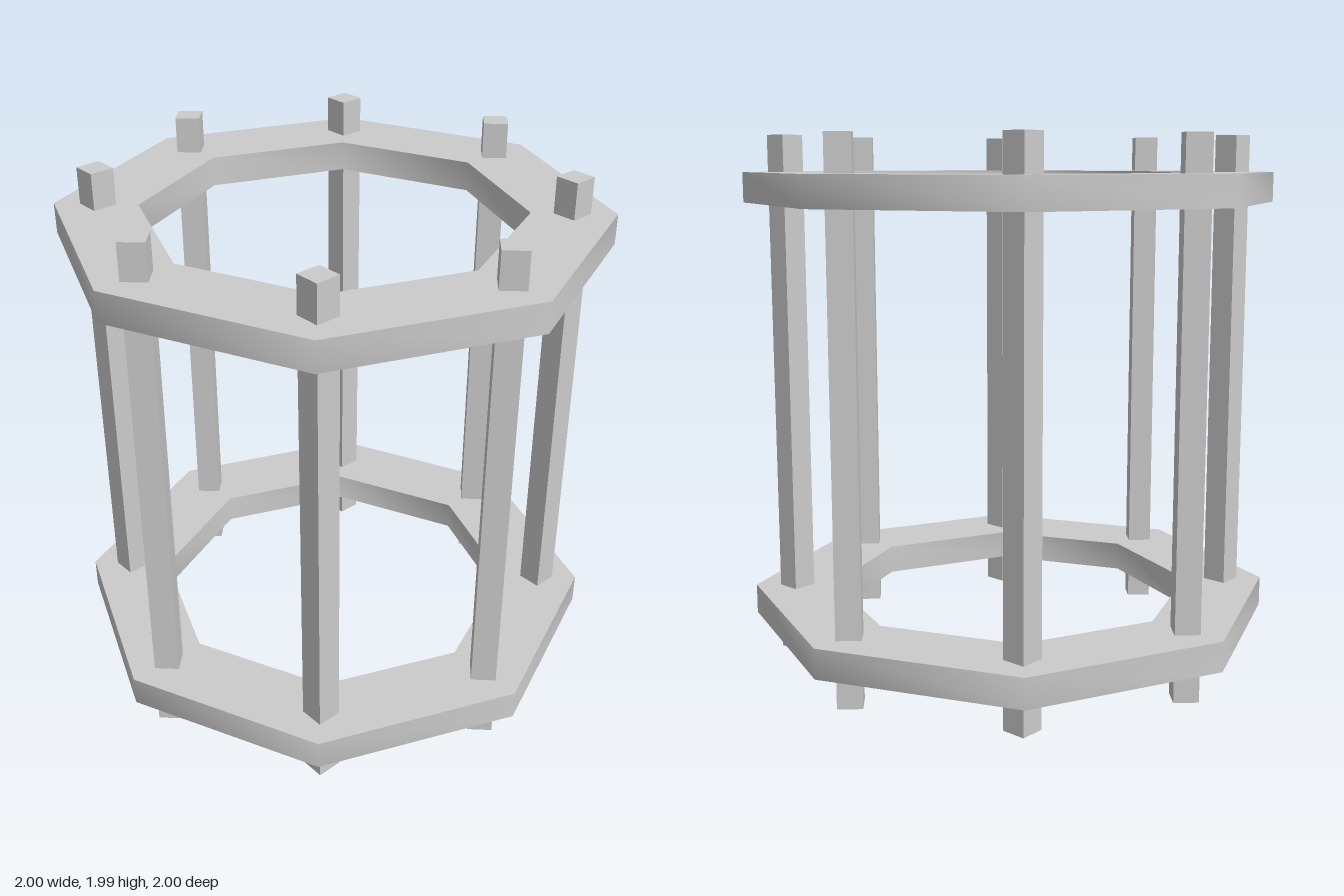
import * as THREE from 'three';
import { toCreasedNormals } from 'three/addons/utils/BufferGeometryUtils.js';

const SIDES = 8;
const HEIGHT = 1.99;

// Corners of an octagon with points on the axes
function octagon(radius) {
  return Array.from({ length: SIDES }, (_, i) => {
    const a = (i / SIDES) * Math.PI * 2;
    return new THREE.Vector2(radius * Math.cos(a), radius * Math.sin(a));
  });
}

export function createModel() {
  const group = new THREE.Group();
  group.name = 'octagonalFrame';
  const material = new THREE.MeshStandardMaterial({ color: 0xcccccc });

  // Flat octagonal rings: walls smooth around the ring, edges sharp
  const shape = new THREE.Shape(octagon(1));
  shape.holes.push(new THREE.Path(octagon(0.695)));
  const extruded = new THREE.ExtrudeGeometry(shape, { depth: 0.112, bevelEnabled: false });
  extruded.rotateX(-Math.PI / 2);
  const ringGeometry = toCreasedNormals(extruded, THREE.MathUtils.degToRad(50));
  for (const [name, y] of [['lowerRing', 0.14], ['upperRing', 1.742]]) {
    const ring = new THREE.Mesh(ringGeometry, material);
    ring.name = name;
    ring.position.y = y;
    group.add(ring);
  }

  // Square posts through each corner, an edge facing outward
  const postGeometry = new THREE.BoxGeometry(0.092, HEIGHT, 0.092);
  octagon(0.84).forEach((p, i) => {
    const post = new THREE.Mesh(postGeometry, material);
    post.name = `post${i + 1}`;
    post.position.set(p.x, HEIGHT / 2, p.y);
    post.rotation.y = Math.PI / 4 - (i / SIDES) * Math.PI * 2;
    group.add(post);
  });

  return group;
}
